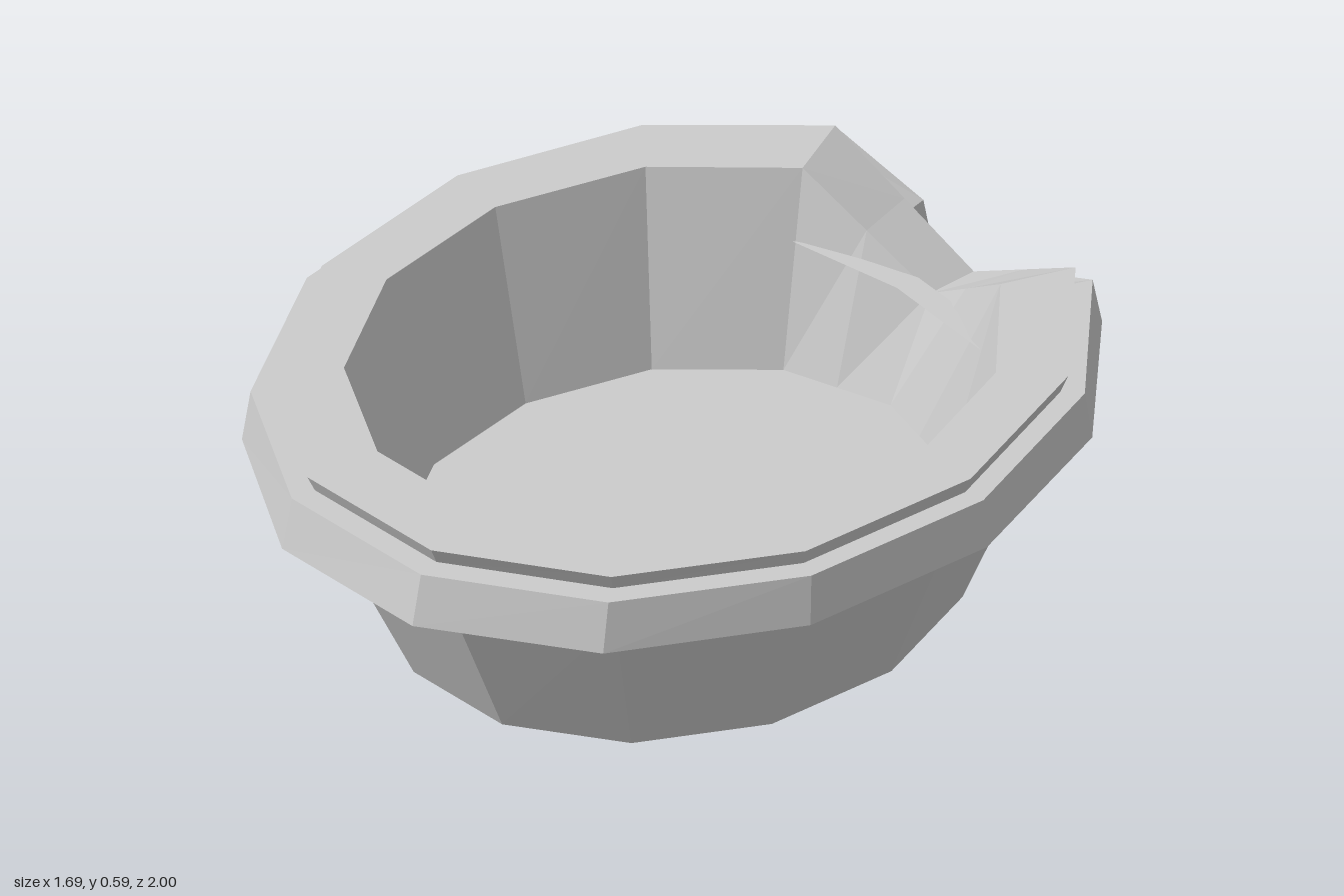
import * as THREE from 'three';

const SIDES = 13;
const BROKEN = 10; // corner at the back where the rim has cracked and sunk
const DROP = 0.21;

// Columns around the pot; doubled ones mark the snapped ends of the rim band
const columns = [];
for (let k = 0; k < SIDES; k++) {
  columns.push({ k, chipped: k === BROKEN });
  if (k === BROKEN - 1) columns.push({ k: 9.5, chipped: false }, { k: 9.5, chipped: true });
  if (k === BROKEN) columns.push({ k: 10.5, chipped: true }, { k: 10.5, chipped: false });
}

// One oval ring; drop sinks it at the break, pull draws it inward there
function ring({ rx, rz, y, cz = -0.02, drop = 0, pull = 0, chip = 0 }) {
  const corner = (k) => {
    const a = (k / SIDES) * Math.PI * 2;
    return new THREE.Vector3(-0.01 + rx * Math.cos(a), y, cz + rz * Math.sin(a));
  };
  return columns.map(({ k, chipped }) => {
    const p = corner(Math.floor(k)).lerp(corner(Math.ceil(k)), k % 1);
    const broken = Math.max(0, 1 - Math.abs(k - BROKEN));
    p.y -= drop * broken;
    p.z += (pull + (chipped ? chip : 0)) * broken;
    return p;
  });
}

// Skin a series of rings with flat facets
function loft(name, profile, material) {
  const rings = profile.map(ring);
  const n = columns.length;
  const positions = [];
  const indices = [];
  rings.flat().forEach((p) => positions.push(p.x, p.y, p.z));
  for (let i = 0; i < rings.length - 1; i++) {
    for (let j = 0; j < n; j++) {
      const a = i * n + j;
      const b = i * n + ((j + 1) % n);
      indices.push(a, a + n, b, b, a + n, b + n);
    }
  }
  const geometry = new THREE.BufferGeometry();
  geometry.setAttribute('position', new THREE.Float32BufferAttribute(positions, 3));
  geometry.setIndex(indices);
  const flat = geometry.toNonIndexed();
  flat.computeVertexNormals();
  const mesh = new THREE.Mesh(flat, material);
  mesh.name = name;
  return mesh;
}

export function createModel() {
  const group = new THREE.Group();
  group.name = 'brokenPot';
  const clay = new THREE.MeshStandardMaterial({
    color: 0xcccccc, flatShading: true, side: THREE.DoubleSide,
  });

  const bodyTop = { rx: 0.76, rz: 0.89, y: 0.435, drop: 0.225, pull: 0.095 };
  const innerEdge = { rx: 0.665, rz: 0.765, y: 0.59, drop: DROP };

  // Hollow foot and tapering outer wall
  group.add(loft('body', [
    { rx: 0, rz: 0, y: 0.09, cz: -0.035 },
    { rx: 0.46, rz: 0.55, y: 0.09, cz: -0.035 },
    { rx: 0.46, rz: 0.55, y: 0, cz: -0.035 },
    { rx: 0.58, rz: 0.69, y: 0, cz: -0.035 },
    bodyTop,
  ], clay));

  // Projecting band with a narrower flared lip on top
  group.add(loft('rim', [
    bodyTop,
    { rx: 0.855, rz: 1.02, y: 0.435, drop: DROP, chip: 0.1 },
    { rx: 0.845, rz: 0.99, y: 0.55, drop: DROP, chip: 0.08 },
    { rx: 0.795, rz: 0.93, y: 0.55, drop: DROP, pull: 0.06 },
    { rx: 0.81, rz: 0.95, y: 0.59, drop: DROP, pull: 0.06 },
    innerEdge,
  ], clay));

  // Inside wall and floor
  group.add(loft('interior', [
    innerEdge,
    { rx: 0.555, rz: 0.645, y: 0.15 },
    { rx: 0, rz: 0, y: 0.15 },
  ], clay));

  // Thin splinter left across the inside of the break
  const outline = [[-0.26, -0.69], [-0.08, -0.73], [0.06, -0.75], [0.18, -0.72], [0.36, -0.61], [0.05, -0.69]];
  const splinterShape = new THREE.Shape(outline.map(([x, z]) => new THREE.Vector2(x, -z)));
  const splinter = new THREE.Mesh(new THREE.ShapeGeometry(splinterShape).rotateX(-Math.PI / 2), clay);
  splinter.position.y = 0.43;
  splinter.name = 'splinter';
  group.add(splinter);

  return group;
}
